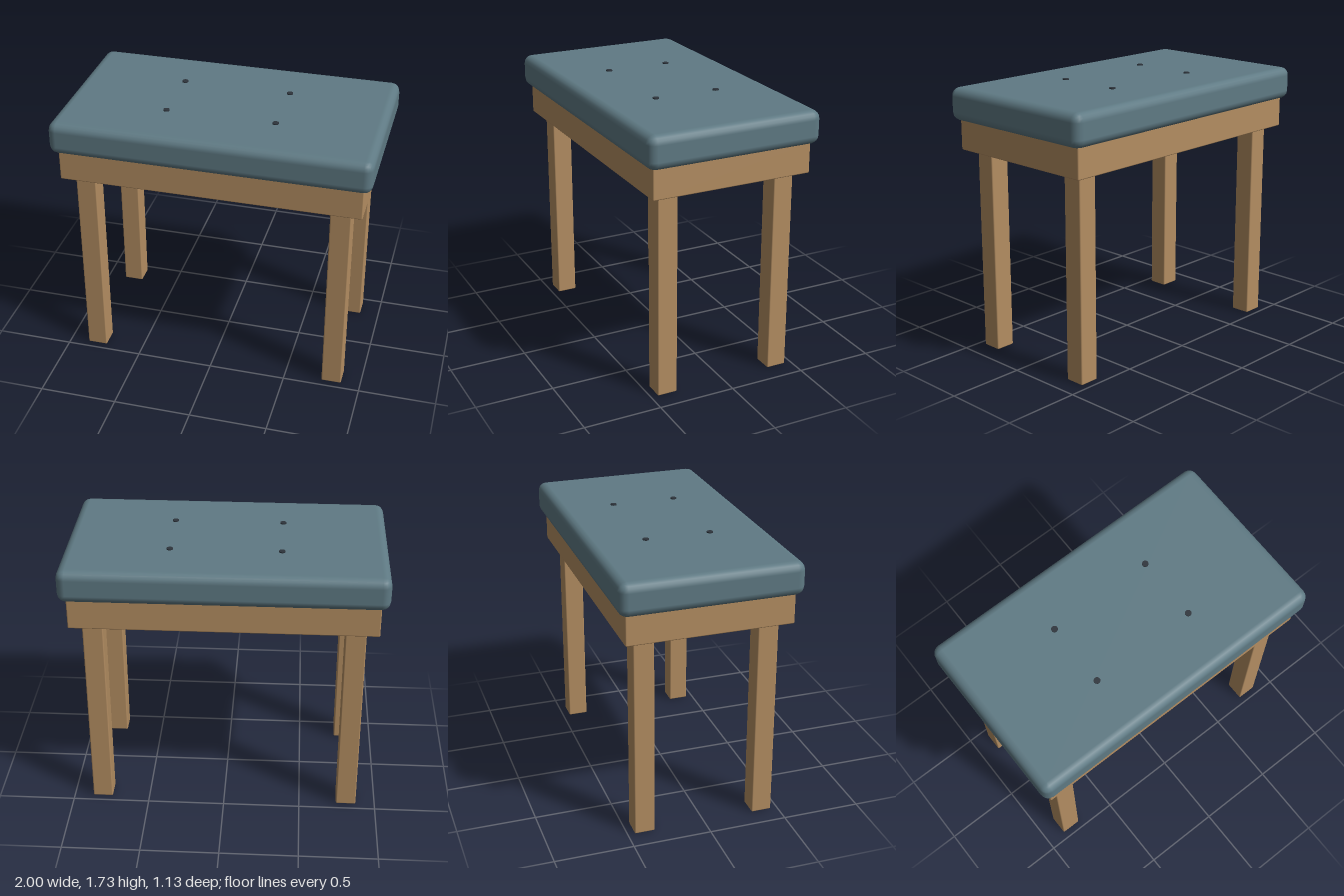
import * as THREE from 'three';
import { RoundedBoxGeometry } from 'three/addons/geometries/RoundedBoxGeometry.js';

const wood = new THREE.MeshStandardMaterial({ color: 0xb48e62 });
const fabric = new THREE.MeshStandardMaterial({ color: 0x5f7a84 });
const dark = new THREE.MeshStandardMaterial({ color: 0x2e343c });

export function createModel() {
  const stool = new THREE.Group();
  stool.name = 'stool';

  const add = (name, geometry, material, x, y, z) => {
    const mesh = new THREE.Mesh(geometry, material);
    mesh.name = name;
    mesh.position.set(x, y, z);
    stool.add(mesh);
  };

  // Padded cushion with soft edges
  add('cushion', new RoundedBoxGeometry(2, 0.21, 1.135, 2, 0.055), fabric, 0, 1.62, 0);

  // Solid wooden frame below the cushion
  add('seatFrame', new RoundedBoxGeometry(1.9, 0.2, 1.045, 2, 0.008), wood, 0, 1.425, 0);

  // Four square legs and four tufting buttons
  const legGeometry = new RoundedBoxGeometry(0.13, 1.335, 0.13, 2, 0.008);
  const buttonGeometry = new THREE.CylinderGeometry(0.02, 0.02, 0.015, 16);
  for (const [sideX, x] of [['Left', 1], ['Right', -1]]) {
    for (const [sideZ, z] of [['front', 1], ['back', -1]]) {
      add(`${sideZ}${sideX}Leg`, legGeometry, wood, x * 0.81, 0.6675, z * 0.39);
      add(`${sideZ}${sideX}Button`, buttonGeometry, dark, x * 0.345, 1.7245, z * 0.206);
    }
  }

  return stool;
}
